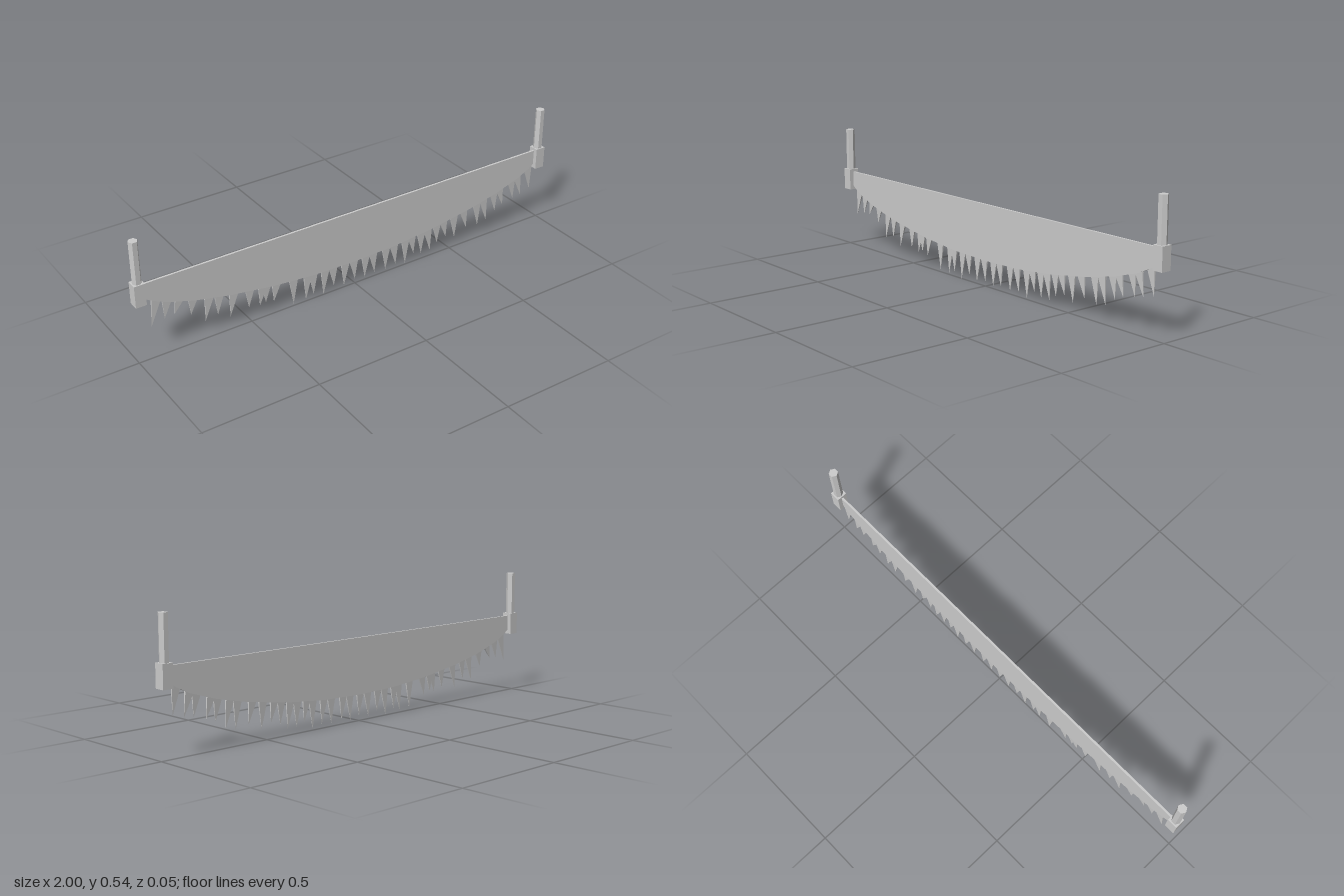
import * as THREE from 'three';

const material = new THREE.MeshStandardMaterial({ color: 0xcccccc, flatShading: true });

// Curved lower edge of the blade: [distance from centre, height]
const edge = [[0, 0.12], [0.2, 0.125], [0.4, 0.143], [0.6, 0.174], [0.75, 0.207], [0.87, 0.245], [0.93, 0.275], [0.965, 0.3]];

function edgeHeight(x) {
  const a = Math.abs(x);
  let i = 1;
  while (i < edge.length - 1 && edge[i][0] < a) i++;
  const [x0, y0] = edge[i - 1], [x1, y1] = edge[i];
  return y0 + (y1 - y0) * (a - x0) / (x1 - x0);
}

function add(parent, name, geometry, x = 0, y = 0, z = 0) {
  const mesh = new THREE.Mesh(geometry, material);
  mesh.name = name;
  mesh.position.set(x, y, z);
  parent.add(mesh);
  return mesh;
}

// Slim four-sided spike whose tip leans sideways
function toothGeometry(width, depth, height, lean) {
  const g = new THREE.ConeGeometry(Math.SQRT1_2, height, 4, 1, false, Math.PI / 4);
  g.rotateX(Math.PI);
  g.scale(width, 1, depth);
  const p = g.attributes.position;
  for (let i = 0; i < p.count; i++) {
    if (p.getY(i) < 0) p.setX(i, p.getX(i) + lean);
  }
  g.computeVertexNormals();
  return g;
}

export function createModel() {
  const model = new THREE.Group();
  model.name = 'twoHandedSaw';

  // Blade: straight back, bowed cutting edge
  const shape = new THREE.Shape();
  shape.moveTo(-0.965, 0.358);
  for (const [x, y] of [...edge].reverse()) shape.lineTo(-x, y);
  for (const [x, y] of edge.slice(1)) shape.lineTo(x, y);
  shape.lineTo(0.965, 0.358);
  shape.closePath();
  const thickness = 0.009;
  add(model, 'blade', new THREE.ExtrudeGeometry(shape, { depth: thickness, bevelEnabled: false }), 0, 0, -thickness / 2);

  // Uneven teeth along the cutting edge: [tip x, tip height]
  const tips = [
    [-0.935, 0.155], [-0.878, 0.17], [-0.835, 0.175], [-0.766, 0.145], [-0.706, 0.09], [-0.65, 0.1], [-0.595, 0.07],
    [-0.51, 0.08], [-0.46, 0.07], [-0.432, 0.075], [-0.395, 0.065], [-0.302, 0.02], [-0.243, 0.018], [-0.205, 0.03],
    [-0.157, 0.01], [-0.105, 0.035], [-0.055, 0.018], [0.0, 0.03], [0.05, 0.02], [0.1, 0.028], [0.157, 0.022],
    [0.21, 0.028], [0.26, 0.015], [0.305, 0.05], [0.345, 0.035], [0.393, 0.035], [0.43, 0.06], [0.478, 0.075],
    [0.526, 0.055], [0.59, 0.085], [0.654, 0.075], [0.702, 0.085], [0.75, 0.118], [0.793, 0.135],
    [0.851, 0.15], [0.895, 0.155], [0.945, 0.17]];
  const teeth = new THREE.Group();
  teeth.name = 'teeth';
  model.add(teeth);
  tips.forEach(([x, y], i) => {
    const lean = 0.025 * x + (i % 2 ? 0.006 : -0.006);
    const rootX = x - lean;
    const top = edgeHeight(rootX) + 0.012;
    add(teeth, 'tooth', toothGeometry(0.043, 0.008, top - y, lean), rootX, (top + y) / 2);
  });

  // Clamp block and hexagonal grip at each end
  for (const side of [-1, 1]) {
    const end = new THREE.Group();
    end.name = side > 0 ? 'leftHandle' : 'rightHandle';
    model.add(end);
    add(end, 'clampBlock', new THREE.BoxGeometry(0.045, 0.095, 0.045), side * 0.9775, 0.3225);
    add(end, 'grip', new THREE.CylinderGeometry(0.0195, 0.0195, 0.193, 6, 1, false, Math.PI / 6), side * 0.9775, 0.4565);
  }
  return model;
}
